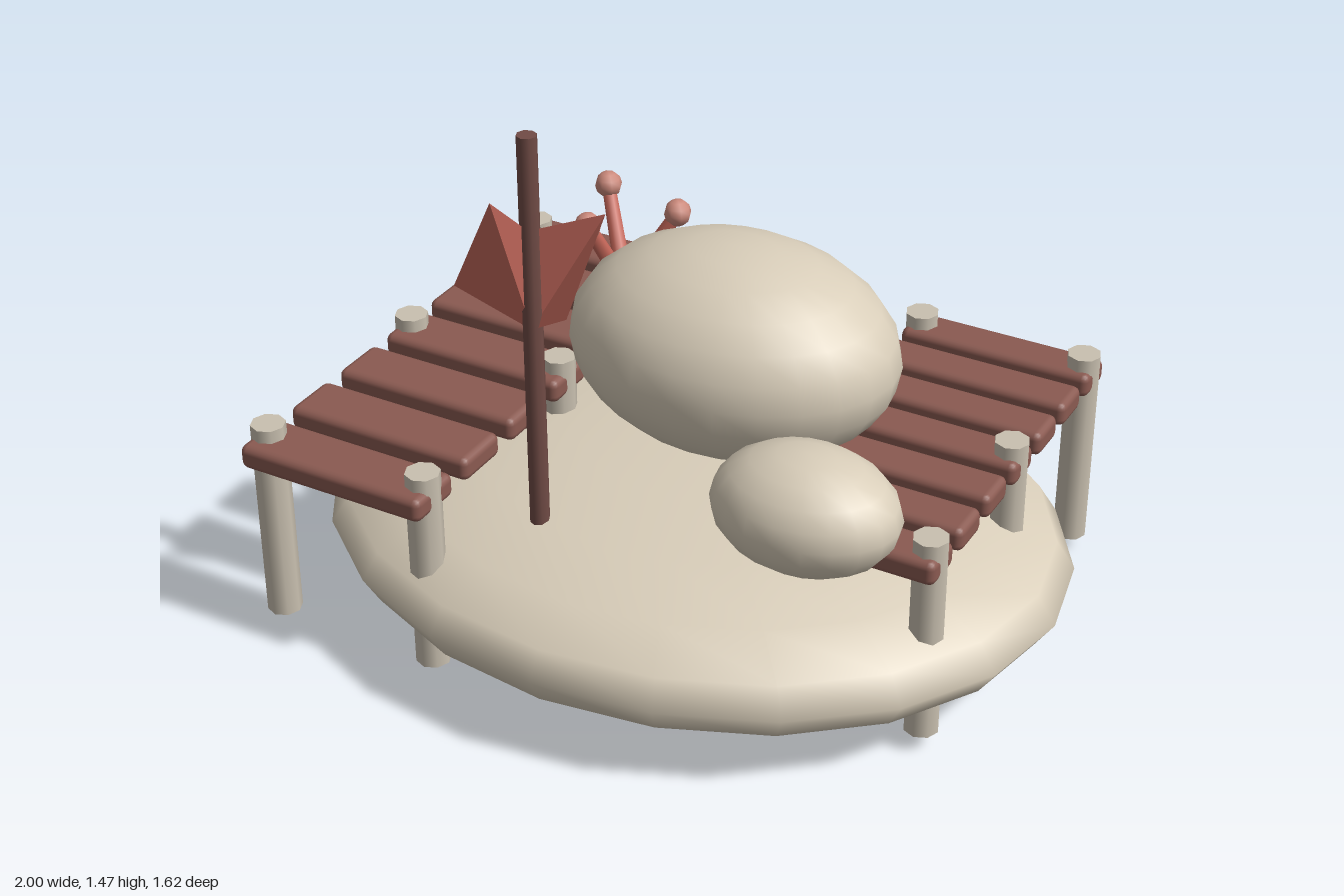
import * as THREE from 'three';
import { RoundedBoxGeometry } from 'three/addons/geometries/RoundedBoxGeometry.js';

const material = (name, color, side = THREE.FrontSide) =>
  new THREE.MeshStandardMaterial({ name, color, side });

export function createModel() {
  const model = new THREE.Group();
  model.name = 'rockIsland';
  const stone = material('stone', 0xd8cdb9);
  const post = material('postWood', 0xc9c0b0);
  const plank = material('plankWood', 0x8a5a51);
  const pole = material('poleWood', 0x714c46);
  const coral = material('coral', 0xc9695b);
  const coralTip = material('coralTip', 0xcc8a7c);
  const cloth = material('flagCloth', 0xc4695c, THREE.DoubleSide);

  const add = (name, geometry, mat, x = 0, y = 0, z = 0, parent = model) => {
    const mesh = new THREE.Mesh(geometry, mat);
    mesh.name = name;
    mesh.position.set(x, y, z);
    parent.add(mesh);
    return mesh;
  };

  // Flattened island and the two boulders resting on it
  const ellipsoid = (name, rx, ry, rz, x, y, z, seg) =>
    add(name, new THREE.SphereGeometry(1, seg, seg / 2).scale(rx, ry, rz), stone, x, y, z);
  ellipsoid('islandBase', 1, 0.236, 0.81, 0, 0.239, 0, 20);
  ellipsoid('largeBoulder', 0.44, 0.275, 0.338, 0.07, 0.74, -0.076, 24);
  ellipsoid('smallBoulder', 0.24, 0.153, 0.184, 0.48, 0.612, 0.333, 20);

  // Plank walkways with posts under the first, middle and last planks
  const walkway = (name, x, z0, pitch, depth) => {
    const deck = new THREE.Group();
    deck.name = name;
    model.add(deck);
    const board = new RoundedBoxGeometry(0.532, 0.066, depth, 2, 0.02);
    const leg = new THREE.CylinderGeometry(0.045, 0.045, 0.555, 8);
    for (let i = 0; i < 7; i++) {
      const z = z0 + i * pitch;
      add('plank', board, plank, x, 0.538, z, deck);
      if (i % 3 === 0)
        for (const side of [-1, 1]) add('post', leg, post, x + side * 0.23, 0.328, z, deck);
    }
  };
  walkway('rightWalkway', -0.632, -0.63, 0.21, 0.158);
  walkway('leftWalkway', 0.555, -0.667, 0.16, 0.122);

  // Branching coral with knobbed tips
  const coralGroup = new THREE.Group();
  coralGroup.name = 'coralBranch';
  model.add(coralGroup);
  add('coralTrunk', new THREE.CylinderGeometry(0.026, 0.032, 0.22, 7), coral, -0.483, 0.475, -0.48, coralGroup);
  const fork = new THREE.Vector3(-0.483, 0.56, -0.48);
  const up = new THREE.Vector3(0, 1, 0);
  for (const [x, y, z] of [[-0.592, 0.8, -0.582], [-0.342, 0.8, -0.524], [-0.514, 0.8, -0.34]]) {
    const tip = new THREE.Vector3(x, y, z);
    const dir = tip.clone().sub(fork);
    const mid = fork.clone().add(tip).multiplyScalar(0.5);
    const arm = add('coralArm', new THREE.CylinderGeometry(0.019, 0.025, dir.length(), 7), coral,
      mid.x, mid.y, mid.z, coralGroup);
    arm.quaternion.setFromUnitVectors(up, dir.normalize());
    add('coralKnob', new THREE.SphereGeometry(0.038, 8, 6), coralTip, x, y, z, coralGroup);
  }

  // Flag pole and torn, folded flag
  add('flagPole', new THREE.CylinderGeometry(0.025, 0.025, 1.05, 8), pole, -0.19, 0.947, 0.445);
  const top = [-0.19, 1.23, 0.452], bottom = [-0.19, 0.968, 0.452];
  const flagHalf = (name, tip, corner) => {
    const g = new THREE.BufferGeometry();
    const points = [tip, corner, bottom, tip, bottom, top].flat();
    g.setAttribute('position', new THREE.Float32BufferAttribute(points, 3));
    g.computeVertexNormals();
    add(name, g, cloth);
  };
  flagHalf('flagRightHalf', [-0.24, 1.325, 0.532], [-0.405, 1.03, 0.452]);
  // The left half mirrors the winding so that both outer faces point forward
  const g = new THREE.BufferGeometry();
  const tip = [-0.02, 1.287, 0.388], corner = [-0.085, 1.03, 0.465];
  g.setAttribute('position', new THREE.Float32BufferAttribute(
    [tip, bottom, corner, tip, top, bottom].flat(), 3));
  g.computeVertexNormals();
  add('flagLeftHalf', g, cloth);

  return model;
}
